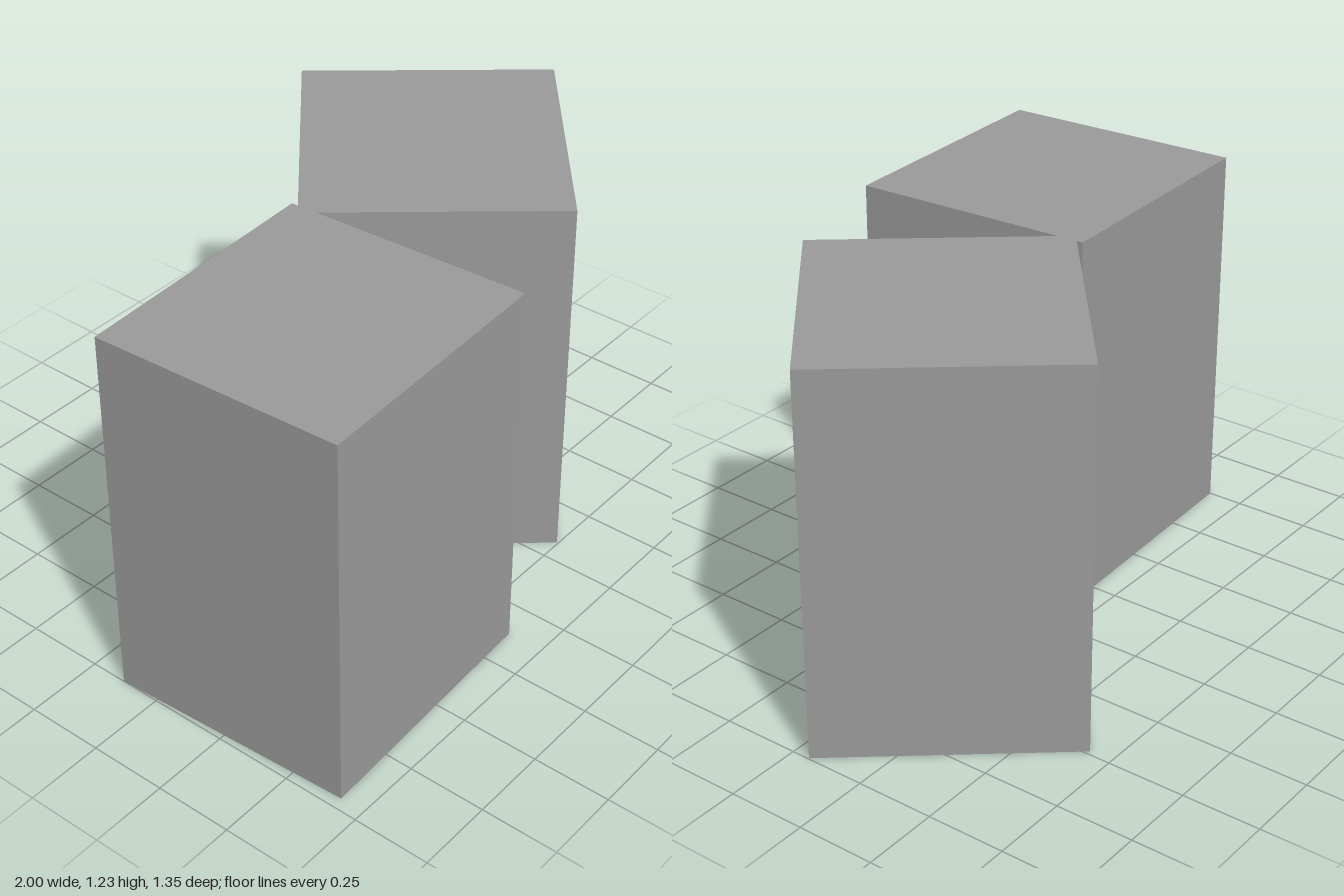
import * as THREE from 'three';

export function createModel() {
  const group = new THREE.Group();
  const grey = new THREE.MeshStandardMaterial({ color: 0x999999 });
  grey.name = 'plain grey';
  const height = 1.23;

  // Upright block standing on the ground, turned about its vertical axis
  function addBlock(name, width, depth, x, z, turn) {
    const block = new THREE.Mesh(new THREE.BoxGeometry(width, height, depth), grey);
    block.name = name;
    block.position.set(x, height / 2, z);
    block.rotation.y = turn;
    group.add(block);
  }

  // Two blocks that touch at one back corner
  addBlock('rightBlock', 0.847, 0.801, -0.558, 0.25, 0.046);
  addBlock('leftBlock', 0.868, 0.802, 0.407, -0.09, 0.69);
  return group;
}
